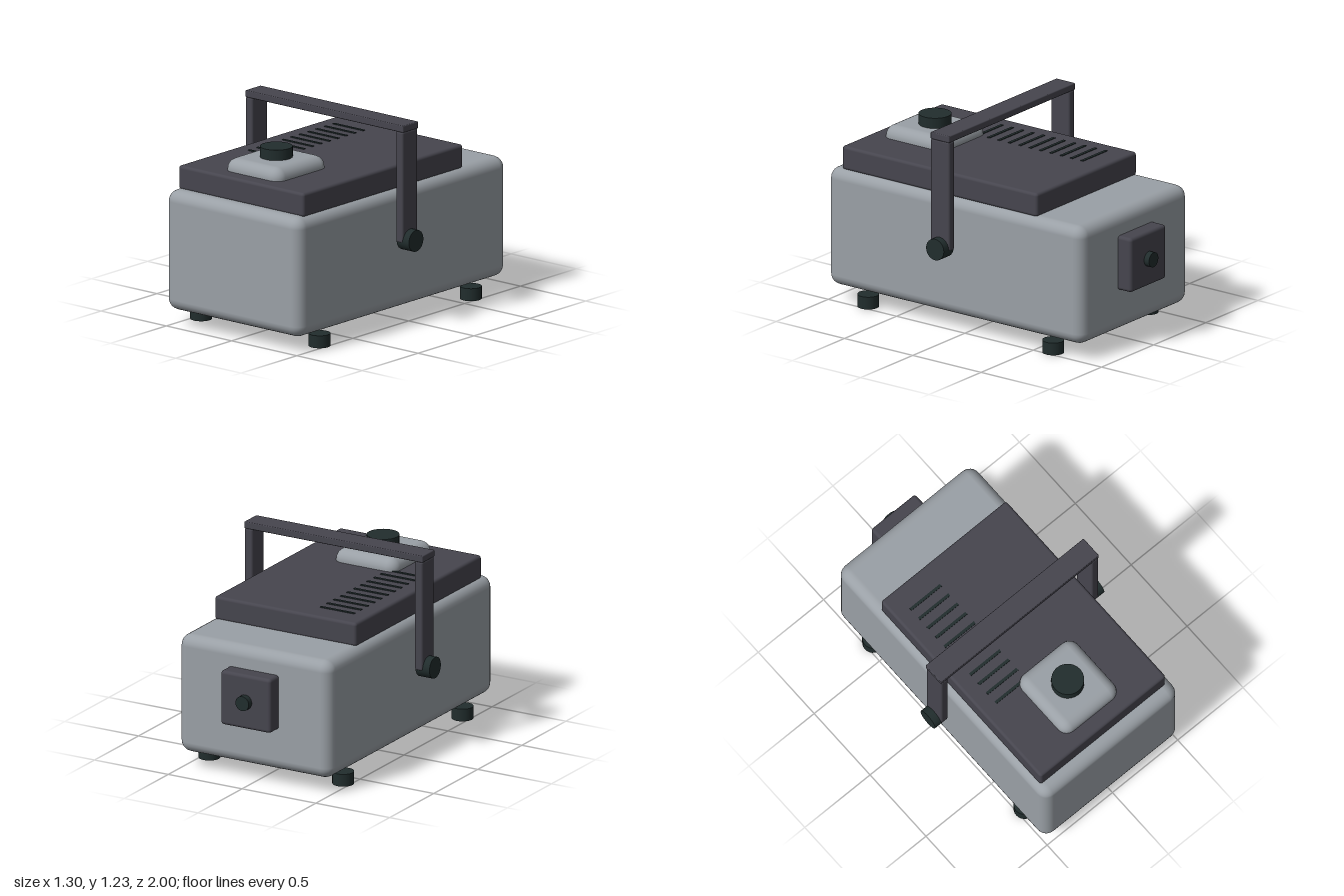
import * as THREE from 'three';
import { RoundedBoxGeometry } from 'three/addons/geometries/RoundedBoxGeometry.js';

export function createModel() {
  const model = new THREE.Group();
  model.name = 'benchInstrument';

  const material = (name, color) => {
    const m = new THREE.MeshStandardMaterial({ color });
    m.name = name;
    return m;
  };
  const casing = material('casing grey', 0x9aa0a6);
  const trim = material('charcoal trim', 0x46454e);
  const rubber = material('dark rubber', 0x212d2d);

  const add = (name, geometry, mat, x, y, z) => {
    const mesh = new THREE.Mesh(geometry, mat);
    mesh.name = name;
    mesh.position.set(x, y, z);
    model.add(mesh);
    return mesh;
  };
  // Rounded box given by its lower and upper limits on each axis
  const block = (name, mat, [x0, x1], [y0, y1], [z0, z1], radius, segments = 3) =>
    add(name, new RoundedBoxGeometry(x1 - x0, y1 - y0, z1 - z0, segments, radius), mat,
      (x0 + x1) / 2, (y0 + y1) / 2, (z0 + z1) / 2);
  const disc = (name, radius, height, x, y, z) =>
    add(name, new THREE.CylinderGeometry(radius, radius, height, 24), rubber, x, y, z);

  // Casing, lid and control pad
  block('body', casing, [-0.517, 0.517], [0.097, 0.82], [-0.868, 1], 0.068);
  block('lid', trim, [-0.48, 0.48], [0.812, 0.956], [-0.512, 0.918], 0.018);
  block('controlPad', casing, [-0.213, 0.213], [0.89, 1.03], [0.378, 0.828], 0.065);
  disc('controlKnob', 0.096, 0.075, 0, 1.0555, 0.6);

  // Row of vent slats on the lid
  for (let i = 0; i < 11; i++) {
    add('ventSlat', new THREE.BoxGeometry(0.232, 0.009, 0.018), rubber,
      -0.266, 0.9555, -0.36 + i * 0.076);
  }

  // Carrying handle with pivots
  block('handleBar', trim, [-0.605, 0.605], [1.189, 1.231], [0.035, 0.173], 0.006, 2);
  for (const side of [-1, 1]) {
    const post = block('handlePost', trim, [0.549, 0.603], [0.522, 1.192], [0.036, 0.174], 0.012, 2);
    post.position.x *= side;
    const pivot = disc('handlePivot', 0.065, 0.094, side * 0.601, 0.532, 0.106);
    pivot.rotation.z = Math.PI / 2;

    // Feet
    for (const z of [0.743, -0.611]) disc('foot', 0.064, 0.075, side * 0.453, 0.0375, z);
  }

  // Rear socket
  block('rearPlate', trim, [-0.17, 0.17], [0.356, 0.688], [-0.964, -0.85], 0.02);
  disc('rearPlug', 0.045, 0.06, 0, 0.523, -0.97).rotation.x = Math.PI / 2;

  return model;
}
